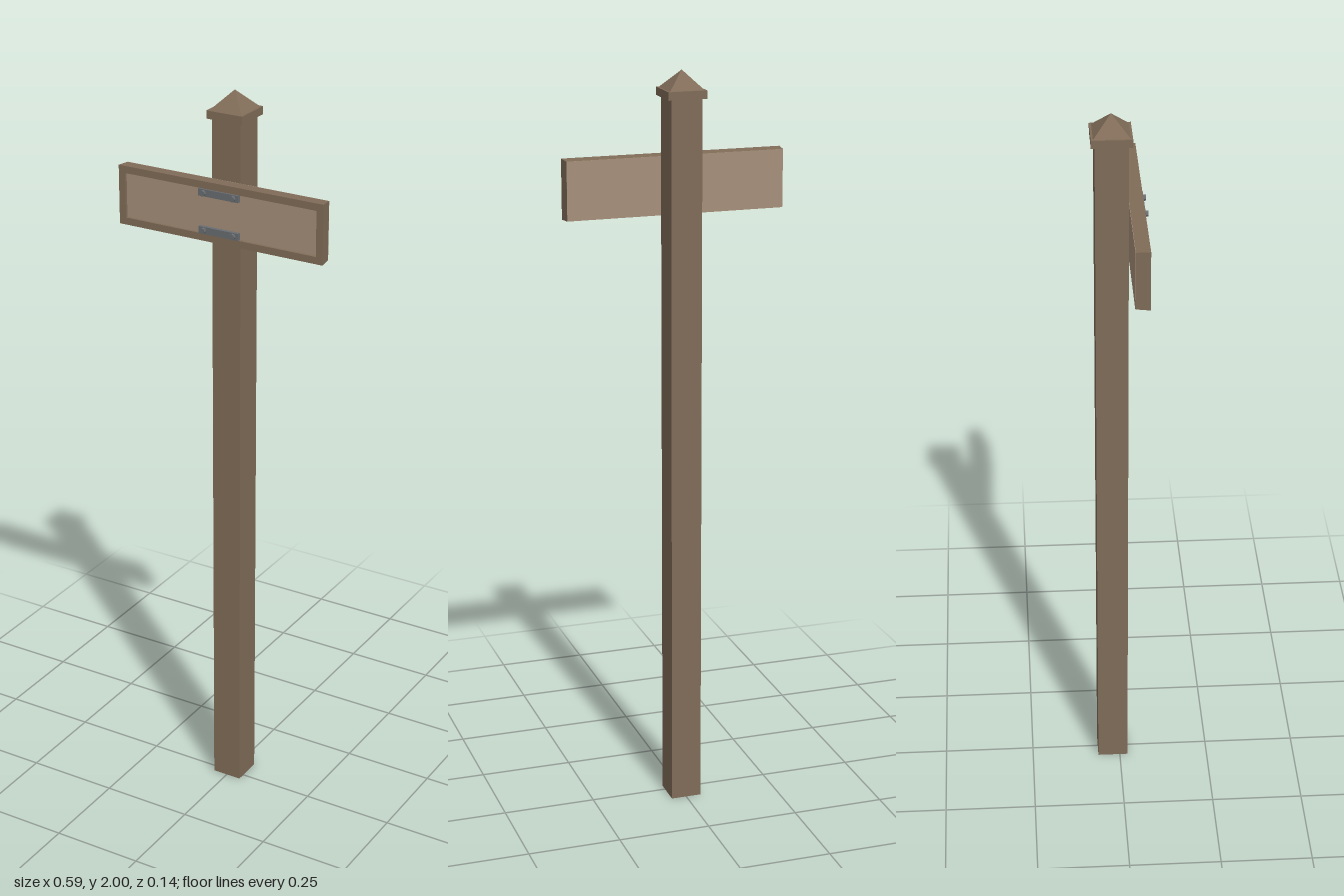
import * as THREE from 'three';

export function createModel() {
  const model = new THREE.Group();
  const material = (name, color) => {
    const m = new THREE.MeshStandardMaterial({ color, flatShading: true });
    m.name = name;
    return m;
  };
  const wood = material('darkWood', 0x806c58);
  const paleWood = material('paleWood', 0xa6907a);
  const metal = material('greyMetal', 0x6a6e72);

  const add = (name, geometry, mat, x, y, z) => {
    const mesh = new THREE.Mesh(geometry, mat);
    mesh.name = name;
    mesh.position.set(x, y, z);
    model.add(mesh);
    return mesh;
  };
  const box = (name, mat, w, h, d, x, y, z) =>
    add(name, new THREE.BoxGeometry(w, h, d), mat, x, y, z);

  // Post with a square cap and a pyramid on top
  const postZ = -0.02;
  box('post', wood, 0.083, 1.931, 0.084, 0, 0.9655, postZ);
  box('capPlate', wood, 0.103, 0.021, 0.103, 0, 1.9415, postZ);
  const pyramid = new THREE.ConeGeometry(0.046 * Math.SQRT2, 0.048, 4);
  pyramid.rotateY(Math.PI / 4);
  add('capPyramid', pyramid, wood, 0, 1.976, postZ);

  // Sign frame: rectangular ring, slightly tapered towards the back
  const signY = 1.698, backZ = 0.022, frontZ = 0.059;
  const rect = (Path, w, h) => {
    const p = new Path();
    p.moveTo(-w, -h);
    p.lineTo(w, -h);
    p.lineTo(w, h);
    p.lineTo(-w, h);
    p.closePath();
    return p;
  };
  const ring = rect(THREE.Shape, 0.297, 0.079);
  ring.holes.push(rect(THREE.Path, 0.278, 0.06));
  const frame = new THREE.ExtrudeGeometry(ring, { depth: frontZ - backZ - 0.001, bevelEnabled: false });
  const pos = frame.attributes.position;
  for (let i = 0; i < pos.count; i++) {
    if (pos.getZ(i) < 0.001) {
      pos.setX(i, pos.getX(i) - Math.sign(pos.getX(i)) * 0.004);
      pos.setY(i, pos.getY(i) - Math.sign(pos.getY(i)) * 0.002);
    }
  }
  frame.computeVertexNormals();
  add('signFrame', frame, wood, 0, signY, backZ + 0.001);

  // Pale boards: recessed front panel and the flat back
  box('signPanel', paleWood, 0.556, 0.12, 0.03, 0, signY, 0.038);
  box('signBack', paleWood, 0.586, 0.154, 0.001, 0, signY, backZ + 0.0005);

  // Two metal straps, each with a pair of bolts
  for (const side of [-1, 1]) {
    const y = signY + side * 0.05;
    box('strap', metal, 0.116, 0.019, 0.0105, 0, y, 0.05725);
    for (const x of [-0.043, 0.043]) {
      const bolt = new THREE.CylinderGeometry(0.008, 0.008, 0.008, 8);
      bolt.rotateX(Math.PI / 2);
      add('bolt', bolt, metal, x, y, 0.0655);
    }
  }
  return model;
}
